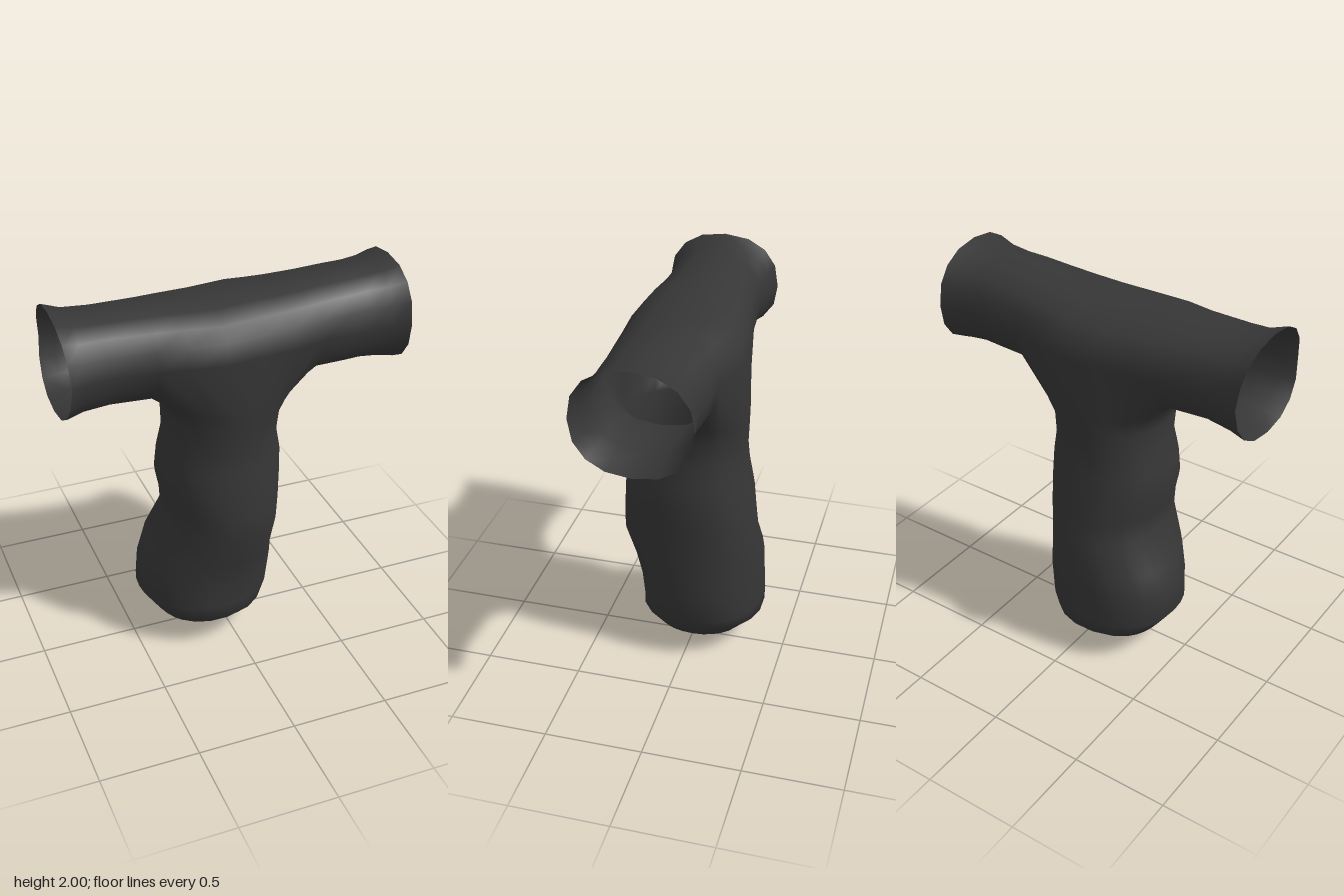
import * as THREE from 'three';

const SIDES = 16;          // segments around the sleeve
const HOLE = [3, 8];       // sleeve stations between which the leg opens downward

// Sleeve stations: x, bottom, top, back, front
const SLEEVE = [
  [-0.85, 1.465, 1.98, -0.24, 0.35], [-0.77, 1.485, 1.95, -0.215, 0.32],
  [-0.64, 1.495, 1.945, -0.195, 0.31], [-0.42, 1.49, 1.94, -0.215, 0.325],
  [-0.28, 1.49, 1.94, -0.235, 0.35], [-0.1, 1.49, 1.93, -0.265, 0.365],
  [0.1, 1.49, 1.935, -0.28, 0.35], [0.25, 1.49, 1.94, -0.25, 0.34],
  [0.4, 1.5, 1.95, -0.22, 0.325], [0.55, 1.5, 1.96, -0.21, 0.32],
  [0.66, 1.5, 1.965, -0.2, 0.31], [0.77, 1.49, 1.975, -0.215, 0.32],
  [0.86, 1.475, 2.0, -0.235, 0.345],
];

// Leg rings: y, left edge, right edge, back, front
const LEG = [
  [1.41, -0.32, 0.32, -0.28, 0.35], [1.33, -0.31, 0.27, -0.275, 0.35],
  [1.2, -0.305, 0.26, -0.27, 0.33],
  [1.08, -0.335, 0.28, -0.28, 0.345], [0.95, -0.345, 0.28, -0.305, 0.36],
  [0.83, -0.32, 0.275, -0.32, 0.365], [0.7, -0.31, 0.265, -0.335, 0.37],
  [0.53, -0.4, 0.26, -0.36, 0.325], [0.4, -0.44, 0.265, -0.36, 0.295],
  [0.25, -0.45, 0.25, -0.365, 0.285], [0.18, -0.4, 0.215, -0.365, 0.29],
  [0.11, -0.35, 0.17, -0.29, 0.22], [0.05, -0.26, 0.07, -0.2, 0.14],
  [0.02, -0.2, 0.0, -0.12, 0.05],
];

// Slightly squared ellipse, returned as a pair within [-1, 1]
function rounded(angle, power) {
  const f = (v) => Math.sign(v) * Math.pow(Math.abs(v), power);
  return [f(Math.cos(angle)), f(Math.sin(angle))];
}
const within = (lo, hi, t) => (lo + hi) / 2 + ((hi - lo) / 2) * t;

function garmentGeometry() {
  const points = [], index = [];
  const add = (x, y, z) => points.push(x, y, z) / 3 - 1;
  const quad = (a, b, c, d) => index.push(a, b, c, a, c, d);

  // Open sleeve running along x
  const tube = SLEEVE.map(([x, bottom, top, back, front], s) =>
    Array.from({ length: SIDES }, (_, i) => {
      const [c, v] = rounded((i / SIDES) * Math.PI * 2, 0.88);
      const bow = s === 0 ? 0.01 - 0.02 * Math.abs(v) : 0;
      return add(x + bow, within(bottom, top, v), within(back, front, c));
    }));
  for (let s = 0; s < tube.length - 1; s++) {
    for (let i = 0; i < SIDES; i++) {
      if (s >= HOLE[0] && s < HOLE[1] && i >= SIDES / 2) continue;
      const j = (i + 1) % SIDES;
      quad(tube[s][i], tube[s + 1][i], tube[s + 1][j], tube[s][j]);
    }
  }

  // Rim of the opening, with the plan angle each rim point flows down to
  const rim = [], angles = [];
  const edge = (count, start, pick) => {
    for (let k = 0; k < count; k++) {
      rim.push(pick(k));
      angles.push(start - (k / count) * Math.PI / 2);
    }
  };
  const [h0, h1] = HOLE, half = SIDES / 2, q = Math.PI / 4;
  edge(h1 - h0, 3 * q, (k) => tube[h0 + k][0]);
  edge(half, q, (k) => tube[h1][(SIDES - k) % SIDES]);
  edge(h1 - h0, -q, (k) => tube[h1 - k][half]);
  edge(half, -3 * q, (k) => tube[h0][half + k]);

  // Hanging leg lofted from the rim to the rounded toe
  let upper = rim;
  for (const [y, left, right, back, front] of LEG) {
    const ring = angles.map((a) => {
      const [c, s] = rounded(a, 0.92);
      return add(within(left, right, c), y, within(back, front, s));
    });
    ring.forEach((p, k) => {
      const n = (k + 1) % ring.length;
      quad(upper[k], p, ring[n], upper[n]);
    });
    upper = ring;
  }
  const tip = add(-0.13, 0, -0.04);
  upper.forEach((p, k) => index.push(p, tip, upper[(k + 1) % upper.length]));

  const geometry = new THREE.BufferGeometry();
  geometry.setAttribute('position', new THREE.Float32BufferAttribute(points, 3));
  geometry.setIndex(index);
  geometry.computeVertexNormals();
  return geometry;
}

export function createModel() {
  const group = new THREE.Group();
  group.name = 'tubeWithHangingLeg';
  const charcoal = new THREE.MeshStandardMaterial({ color: 0x363636, side: THREE.DoubleSide });
  charcoal.name = 'charcoal';
  const garment = new THREE.Mesh(garmentGeometry(), charcoal);
  garment.name = 'sleeveAndLeg';
  group.add(garment);
  return group;
}
